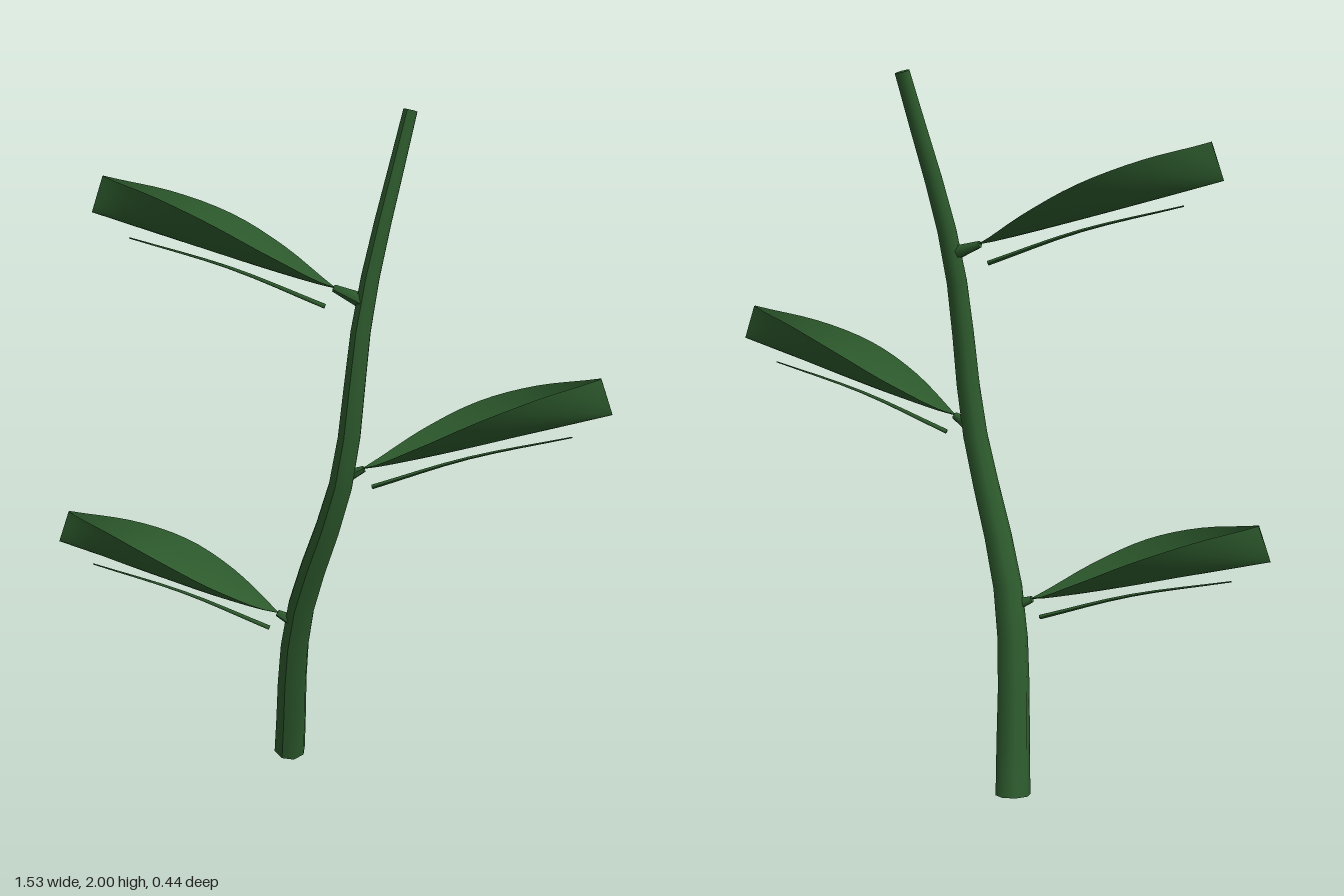
import * as THREE from 'three';

const green = new THREE.MeshStandardMaterial({ color: 0x2d5a2d, side: THREE.DoubleSide });
green.name = 'leafGreen';

const V = (x, y, z) => new THREE.Vector3(x, y, z);

// Tapered rod swept along a smooth curve, with closed ends
function rod(name, points, r0, r1, sides, steps) {
  const curve = new THREE.CatmullRomCurve3(points);
  const geo = new THREE.CylinderGeometry(r1, r0, 1, sides, steps);
  const pos = geo.attributes.position;
  const up = V(0, 1, 0);
  const q = new THREE.Quaternion();
  for (let i = 0; i < pos.count; i++) {
    const t = THREE.MathUtils.clamp(pos.getY(i) + 0.5, 0, 1);
    q.setFromUnitVectors(up, curve.getTangentAt(t));
    const v = V(pos.getX(i), 0, pos.getZ(i)).applyQuaternion(q).add(curve.getPointAt(t));
    pos.setXYZ(i, v.x, v.y, v.z);
  }
  geo.computeVertexNormals();
  const mesh = new THREE.Mesh(geo, green);
  mesh.name = name;
  return mesh;
}

// Cupped blade along +x: pointed at the base, pinched to an upright edge at the tip
function blade() {
  const length = 0.685, rows = 16, cols = 12;
  const rim = new THREE.SplineCurve([[0, 0.003], [0.25, 0.036], [0.5, 0.062], [0.75, 0.066], [1, 0.052]]
    .map(([x, y]) => new THREE.Vector2(x, y)));
  const geo = new THREE.PlaneGeometry(1, 1, rows, cols);
  const pos = geo.attributes.position;
  for (let i = 0; i < pos.count; i++) {
    const t = pos.getX(i) + 0.5;
    const s = pos.getY(i) * 2;
    const width = 0.108 * Math.sin(Math.PI * Math.pow(t, 0.88)) + 0.003;
    const keel = -0.052 * Math.pow(t, 0.8);
    const y = keel + (rim.getPoint(t).y - keel) * Math.pow(Math.abs(s), 1.7);
    pos.setXYZ(i, t * length, y, -s * width);
  }
  geo.computeVertexNormals();
  const mesh = new THREE.Mesh(geo, green);
  mesh.name = 'leafBlade';
  return mesh;
}

export function createModel() {
  const model = new THREE.Group();
  model.name = 'leafyBranch';

  // Main stem
  model.add(rod('stem', [
    V(-0.18, 0.012, -0.14), V(-0.085, 0.53, -0.03), V(0.085, 1.02, 0.02),
    V(0.132, 1.5, -0.012), V(0.195, 1.997, -0.14),
  ], 0.05, 0.02, 8, 14));

  // Leaves alternate sides: base position, yaw and the point where the stalk joins
  const leaves = [
    { base: V(-0.14, 0.55, 0), yaw: Math.PI + 0.33, joint: V(-0.08, 0.52, -0.02) },
    { base: V(0.14, 1.045, 0), yaw: 0.33, joint: V(0.085, 1.015, 0.015) },
    { base: V(0.045, 1.54, 0), yaw: Math.PI + 0.33, joint: V(0.13, 1.51, -0.01) },
  ];
  for (const { base, yaw, joint } of leaves) {
    model.add(rod('leafStalk', [joint, joint.clone().lerp(base, 0.5), base], 0.022, 0.01, 6, 2));
    const leaf = new THREE.Group();
    leaf.name = 'leaf';
    leaf.position.copy(base);
    leaf.rotation.set(0, yaw, 0.35);
    leaf.add(blade());
    // Slender rib hanging below the blade
    leaf.add(rod('leafRib', [V(0.005, -0.056, 0), V(0.28, -0.054, 0), V(0.567, -0.08, 0)], 0.007, 0.002, 5, 8));
    model.add(leaf);
  }
  return model;
}
